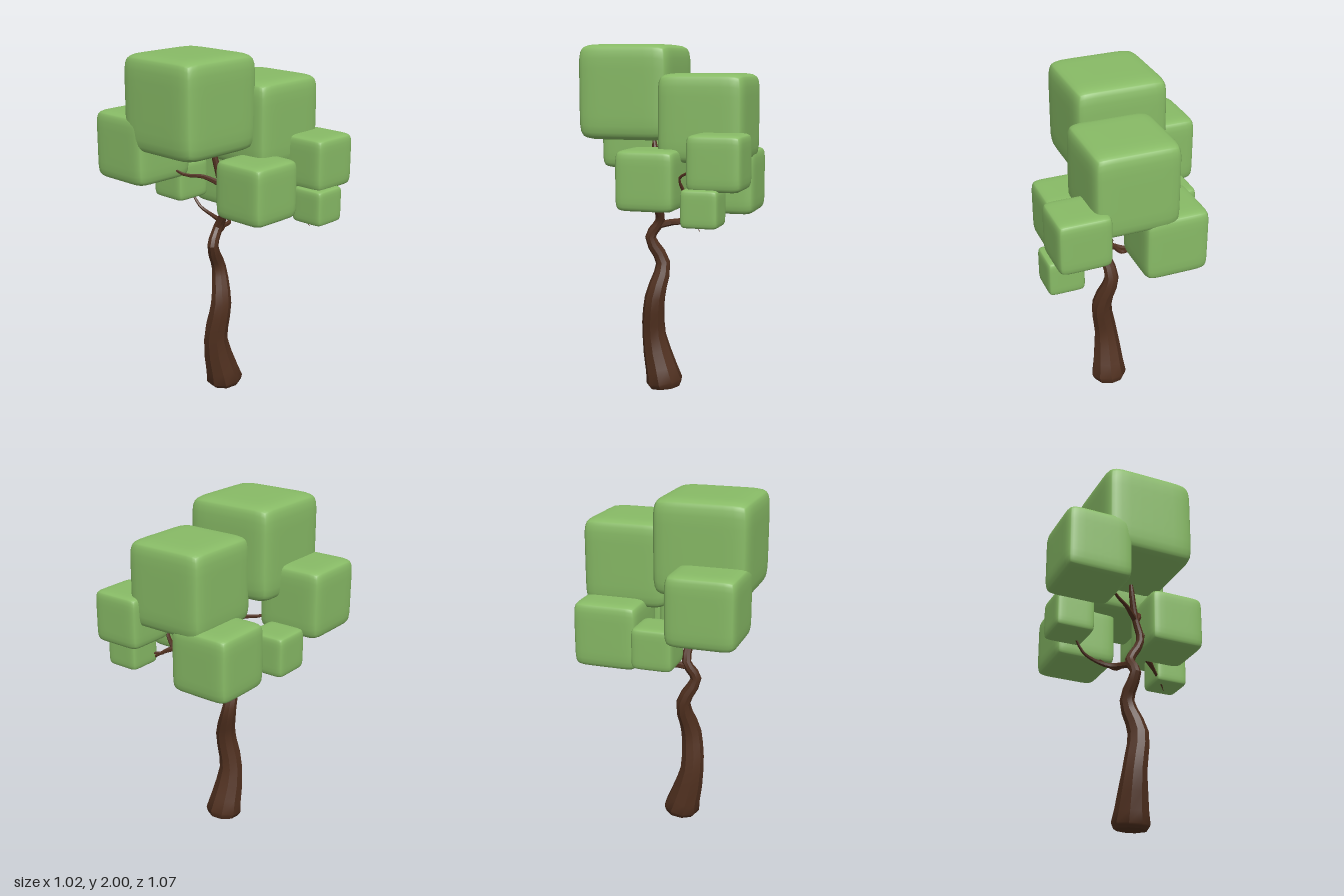
import * as THREE from 'three';
import { mergeVertices, toCreasedNormals } from 'three/addons/utils/BufferGeometryUtils.js';

const bark = new THREE.MeshStandardMaterial({ color: 0x50301f });
const leaf = new THREE.MeshStandardMaterial({ color: 0x88bb66 });

// Tapered limb through points [x, y, z, radius]; zero radii close the ends.
function limb(name, pts, sides) {
  const curve = new THREE.CatmullRomCurve3(pts.map(p => new THREE.Vector3(p[0], p[1], p[2])));
  curve.getPointAt = (t, v) => curve.getPoint(t, v);
  curve.getTangentAt = (t, v) => curve.getTangent(t, v);
  const rings = (pts.length - 1) * 3;
  const geo = new THREE.TubeGeometry(curve, rings, 1, sides);
  const pos = geo.attributes.position;
  const v = new THREE.Vector3();
  for (let i = 0; i < pos.count; i++) {
    const ring = Math.floor(i / (sides + 1));
    const k = Math.min(Math.floor(ring / 3), pts.length - 2);
    const r = THREE.MathUtils.lerp(pts[k][3], pts[k + 1][3], ring / 3 - k);
    const c = curve.getPoint(ring / rings);
    v.fromBufferAttribute(pos, i).sub(c).multiplyScalar(r).add(c);
    pos.setXYZ(i, v.x, Math.max(v.y, 0), v.z);
  }
  const mesh = new THREE.Mesh(toCreasedNormals(geo, 0.6), bark);
  mesh.name = name;
  return mesh;
}

// Soft cube with gently bulging faces: a box pulled onto a superellipsoid.
function softCube() {
  const n = 9;
  let geo = new THREE.BoxGeometry(2, 2, 2, 12, 12, 12);
  const pos = geo.attributes.position;
  const v = new THREE.Vector3();
  for (let i = 0; i < pos.count; i++) {
    v.fromBufferAttribute(pos, i);
    // Crowd the grid towards the edges
    v.set(...v.toArray().map(a => Math.sin(a * Math.PI / 2)));
    const len = v.toArray().reduce((s, a) => s + Math.abs(a) ** n, 0) ** (1 / n);
    v.divideScalar(len);
    pos.setXYZ(i, v.x, v.y, v.z);
  }
  geo.deleteAttribute('uv');
  geo.deleteAttribute('normal');
  geo = mergeVertices(geo, 1e-4);
  geo.computeVertexNormals();
  return geo;
}

export function createModel() {
  const tree = new THREE.Group();
  tree.name = 'tree';

  // Winding trunk, running up into the top cube
  tree.add(limb('trunk', [
    [-0.044, 0.005, 0.037, 0], [-0.045, 0.018, 0.037, 0.092], [-0.05, 0.05, 0.037, 0.108],
    [-0.115, 0.32, 0.03, 0.07], [-0.1, 0.55, 0.06, 0.06], [-0.066, 0.75, 0.008, 0.042],
    [-0.135, 0.9, 0.03, 0.032], [-0.08, 1.0, 0.02, 0.028], [-0.085, 1.13, 0.085, 0.024],
    [-0.09, 1.27, 0.05, 0.02], [-0.11, 1.42, 0.02, 0.017], [-0.13, 1.55, 0, 0],
  ], 9));

  const branches = new THREE.Group();
  branches.name = 'branches';
  tree.add(branches);
  const branchPaths = {
    backBranch: [[-0.09, 0.97, 0.02, 0.02], [-0.03, 0.985, 0, 0.02], [0.02, 0.99, -0.06, 0.016],
      [0.03, 1.01, -0.15, 0.011], [0.02, 1.045, -0.23, 0.009], [0, 1.15, -0.3, 0.006], [-0.02, 1.2, -0.33, 0]],
    backRightTwig: [[-0.03, 0.985, 0, 0.016], [0.04, 0.99, -0.01, 0.013], [0.055, 0.995, -0.03, 0.008],
      [0.1, 1.05, -0.08, 0.007], [0.2, 1.15, -0.14, 0]],
    frontBranch: [[-0.085, 1.1, 0.07, 0.02], [0, 1.14, 0.13, 0.018], [0.07, 1.13, 0.19, 0.016],
      [0.14, 1.13, 0.25, 0.018], [0.19, 1.1, 0.31, 0.01], [0.25, 1.04, 0.39, 0.005], [0.265, 1.01, 0.41, 0]],
    frontUpperTwig: [[0.14, 1.12, 0.25, 0.016], [0.145, 1.2, 0.29, 0.011], [0.125, 1.28, 0.32, 0.008],
      [0.19, 1.32, 0.33, 0.007], [0.3, 1.36, 0.35, 0]],
    lowTwig: [[0.18, 1.1, 0.3, 0.008], [0.24, 1.11, 0.36, 0.007], [0.29, 1.14, 0.43, 0]],
    upperRightBranch: [[-0.09, 1.25, 0.055, 0.018], [-0.04, 1.32, 0.1, 0.015], [0.04, 1.38, 0.11, 0.012],
      [0.14, 1.5, 0.08, 0]],
    upperBackBranch: [[-0.09, 1.26, 0.05, 0.018], [-0.15, 1.3, -0.03, 0.012], [-0.22, 1.31, -0.12, 0.009],
      [-0.3, 1.42, -0.28, 0]],
    frontLeafTwig: [[-0.085, 1.15, 0.08, 0.015], [-0.07, 1.2, 0.15, 0.011], [-0.045, 1.25, 0.25, 0]],
  };
  for (const [name, path] of Object.entries(branchPaths)) branches.add(limb(name, path, 6));

  // Leaf cubes: centre and full size
  const foliage = new THREE.Group();
  foliage.name = 'foliage';
  tree.add(foliage);
  const cube = softCube();
  const leaves = {
    topLeaves: [-0.24, 1.734, -0.033, 0.532],
    upperLeaves: [0.222, 1.598, 0.055, 0.485],
    backRightLeaves: [-0.315, 1.467, -0.342, 0.388],
    smallBackLeaves: [-0.03, 1.218, -0.338, 0.232],
    backLeftLeaves: [0.276, 1.23, -0.173, 0.37],
    frontLeaves: [-0.043, 1.268, 0.277, 0.332],
    frontLeftLeaves: [0.358, 1.38, 0.363, 0.298],
    lowFrontLeaves: [0.29, 1.146, 0.434, 0.204],
  };
  for (const [name, [x, y, z, size]] of Object.entries(leaves)) {
    const mesh = new THREE.Mesh(cube, leaf);
    mesh.name = name;
    mesh.position.set(x, y, z);
    mesh.scale.setScalar(size / 2);
    foliage.add(mesh);
  }
  return tree;
}
